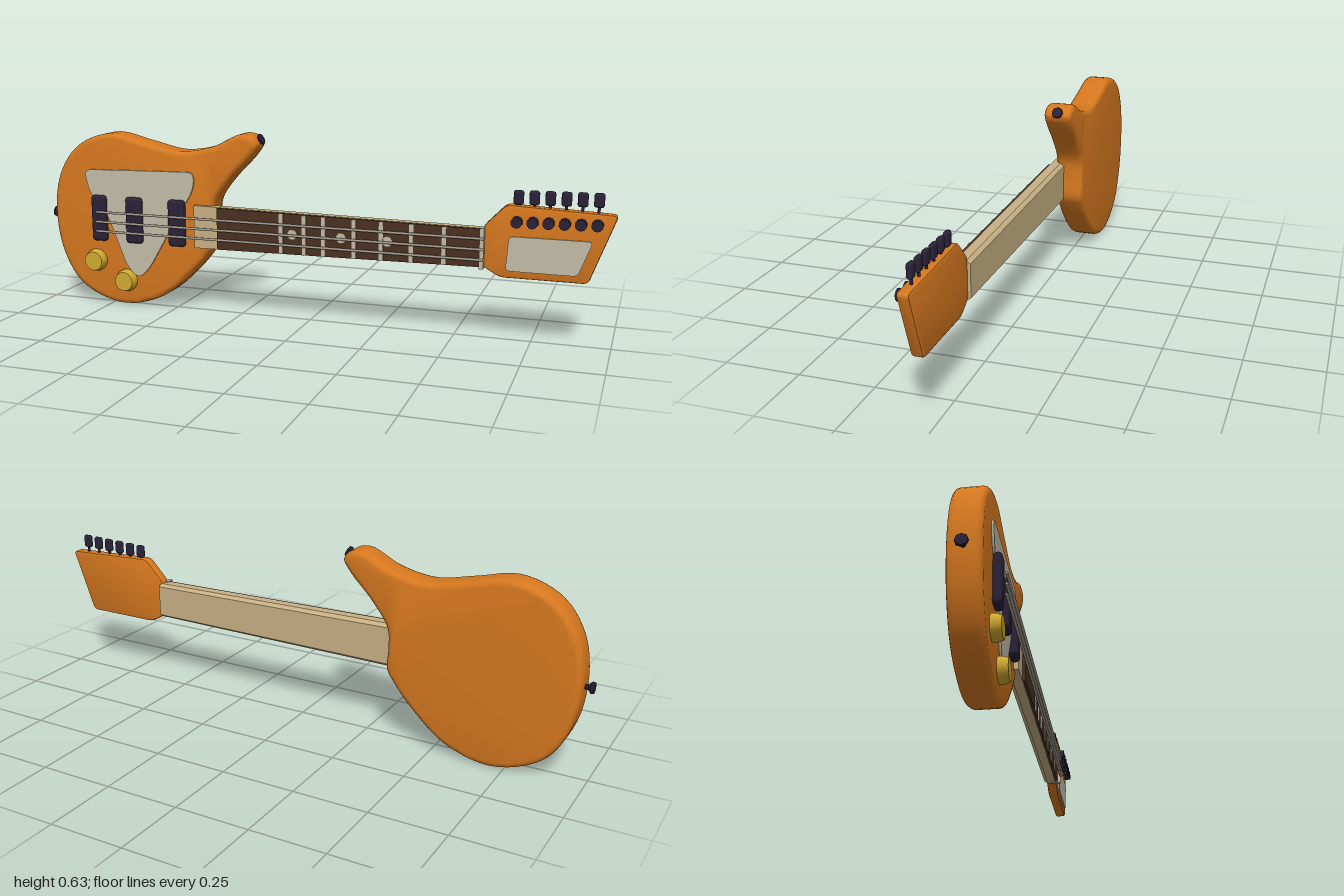
import * as THREE from 'three';
import { toCreasedNormals } from 'three/addons/utils/BufferGeometryUtils.js';
import { RoundedBoxGeometry } from 'three/addons/geometries/RoundedBoxGeometry.js';

const mat = (name, color) => new THREE.MeshStandardMaterial({ name, color });

export function createModel() {
  const root = new THREE.Group();
  const orange = mat('orange lacquer', 0xd6781f);
  const maple = mat('pale maple', 0xc8b084);
  const rosewood = mat('dark fretboard', 0x4a3020);
  const ivory = mat('grey ivory', 0xc4bca8);
  const black = mat('dark plastic', 0x2a2238);
  const gold = mat('gold', 0xd0aa30);
  const steel = mat('string steel', 0xa8a090);

  const add = (name, geo, material, x = 0, y = 0, z = 0, parent = root) => {
    const m = new THREE.Mesh(geo, material);
    m.name = name;
    m.position.set(x, y, z);
    parent.add(m);
    return m;
  };
  const vecs = (pts) => pts.map(([x, y]) => new THREE.Vector2(x, y));

  // Closed smooth outline through a few points
  const splineShape = (pts, n) => {
    const c = new THREE.CatmullRomCurve3(pts.map(([x, y]) => new THREE.Vector3(x, y, 0)), true);
    return new THREE.Shape(c.getPoints(n).slice(0, n).map((p) => new THREE.Vector2(p.x, p.y)));
  };
  // Straight-sided outline with rounded corners
  const roundedShape = (pts, r) => {
    const v = vecs(pts), s = new THREE.Shape();
    v.forEach((p, i) => {
      const a = v[(i + v.length - 1) % v.length], b = v[(i + 1) % v.length];
      const p0 = p.clone().add(a.clone().sub(p).setLength(r));
      const p1 = p.clone().add(b.clone().sub(p).setLength(r));
      if (i) s.lineTo(p0.x, p0.y); else s.moveTo(p0.x, p0.y);
      s.quadraticCurveTo(p.x, p.y, p1.x, p1.y);
    });
    s.closePath();
    return s;
  };
  // Slab between two depths with a softened rim inside the outline
  const slab = (shape, z0, z1, bevel, segs = 3) => {
    const g = new THREE.ExtrudeGeometry(shape, {
      depth: z1 - z0 - 2 * bevel, bevelEnabled: bevel > 0, bevelThickness: bevel,
      bevelSize: bevel, bevelOffset: -bevel, bevelSegments: segs, curveSegments: 5,
    });
    g.translate(0, 0, z0 + bevel);
    return toCreasedNormals(g, 0.6);
  };

  // Body with one horn
  const outline = [
    [-0.97, 0.34], [-0.945, 0.18], [-0.87, 0.065], [-0.71, 0.005], [-0.55, 0.045],
    [-0.43, 0.145], [-0.37, 0.215], [-0.343, 0.26], [-0.345, 0.33], [-0.34, 0.40],
    [-0.285, 0.48], [-0.205, 0.565], [-0.182, 0.605], [-0.2, 0.63], [-0.245, 0.637],
    [-0.35, 0.59], [-0.47, 0.57], [-0.6, 0.595], [-0.74, 0.622], [-0.87, 0.575], [-0.945, 0.475],
  ];
  add('body', slab(splineShape(outline, 110), -0.068, 0.03, 0.018), orange);

  // Pickguard
  add('pickguard', slab(roundedShape([
    [-0.84, 0.492], [-0.41, 0.502], [-0.415, 0.44], [-0.49, 0.32],
    [-0.59, 0.15], [-0.635, 0.105], [-0.68, 0.15], [-0.75, 0.33], [-0.82, 0.41],
  ], 0.03), 0.028, 0.037, 0), ivory);

  // Pickups
  for (const [x, w] of [[-0.78, 0.056], [-0.642, 0.062], [-0.477, 0.062]])
    add('pickup', new RoundedBoxGeometry(w, 0.165, 0.03, 3, 0.012), black, x, 0.32, 0.041);

  // Control knobs
  const knobGeo = toCreasedNormals(new THREE.LatheGeometry(
    vecs([[0, 0], [0.04, 0], [0.04, 0.012], [0.034, 0.031], [0, 0.031]]), 20), 0.5);
  knobGeo.rotateX(Math.PI / 2);
  for (const [x, y] of [[-0.803, 0.163], [-0.684, 0.097]]) add('controlKnob', knobGeo, gold, x, y, 0.03);

  // Strap buttons, flared outwards
  const buttonGeo = toCreasedNormals(new THREE.LatheGeometry(
    vecs([[0, -0.01], [0.009, -0.01], [0.009, 0.008], [0.02, 0.018], [0.018, 0.025], [0, 0.028]]), 8), 0.5);
  add('endStrapButton', buttonGeo, black, -0.972, 0.32, -0.02).rotation.z = Math.PI / 2;
  add('hornStrapButton', buttonGeo, black, -0.2, 0.61, -0.02).rotation.z = -1.1;

  // Neck and fretboard narrow slightly towards the head
  const halfWidth = (x) => 0.075 - 0.012 * (x + 0.41);
  const taperedBar = (section, x0, x1) => {
    const g = new THREE.ExtrudeGeometry(new THREE.Shape(vecs(section)), { depth: x1 - x0, bevelEnabled: false });
    const p = g.attributes.position;
    for (let i = 0; i < p.count; i++) {
      const x = x0 + p.getZ(i);
      p.setXYZ(i, x, 0.313 + p.getX(i) * halfWidth(x), p.getY(i));
    }
    g.computeVertexNormals();
    return g;
  };
  add('neck', taperedBar([[-0.85, 0.002], [0.85, 0.002], [1, 0.015], [1, 0.045], [-1, 0.045], [-1, 0.015]], -0.41, 0.6), maple);
  add('fretboard', taperedBar([[-0.98, 0.044], [0.98, 0.044], [0.98, 0.054], [-0.98, 0.054]], -0.32, 0.59), rosewood);
  add('nut', new THREE.BoxGeometry(0.014, 0.132, 0.03), ivory, 0.592, 0.313, 0.05);

  // Frets and inlay dots
  for (const x of [-0.085, -0.003, 0.065, 0.17, 0.262, 0.363, 0.47])
    add('fret', new THREE.BoxGeometry(0.014, 2 * halfWidth(x) - 0.006, 0.008), ivory, x, 0.313, 0.054);
  const dot = new THREE.CylinderGeometry(0.017, 0.017, 0.006, 14).rotateX(Math.PI / 2);
  for (const x of [-0.045, 0.126, 0.283]) add('inlayDot', dot, ivory, x, 0.313, 0.054);

  // Strings
  const stringGeo = new THREE.CylinderGeometry(0.0045, 0.0045, 1.38, 6).rotateZ(Math.PI / 2);
  for (const y of [0.277, 0.311, 0.346]) add('string', stringGeo, steel, -0.092, y, 0.065);

  // Headstock and its face plate
  add('headstock', slab(roundedShape([
    [0.592, 0.383], [0.663, 0.457], [1.003, 0.442], [0.922, 0.221], [0.65, 0.221], [0.592, 0.253],
  ], 0.017), 0.012, 0.048, 0.006, 2), orange);
  add('headPlate', slab(roundedShape([
    [0.675, 0.357], [0.932, 0.357], [0.89, 0.245], [0.667, 0.245],
  ], 0.015), 0.047, 0.053, 0), ivory);

  // Six tuners: post on the face, key above the edge
  const post = toCreasedNormals(new THREE.CylinderGeometry(0.018, 0.018, 0.024, 10).rotateX(Math.PI / 2), 0.7);
  const stem = new THREE.CylinderGeometry(0.005, 0.005, 0.04, 6);
  const key = new RoundedBoxGeometry(0.032, 0.046, 0.018, 2, 0.008);
  for (let i = 0; i < 6; i++) {
    const tuner = new THREE.Group();
    tuner.name = 'tuner';
    tuner.position.x = 0.698 + i * 0.0488;
    root.add(tuner);
    add('tunerPost', post, black, 0, 0.405 + i * 0.001, 0.058, tuner);
    add('tunerStem', stem, black, 0, 0.455, 0.03, tuner);
    add('tunerKey', key, black, 0, 0.479 + i * 0.001, 0.03, tuner);
  }
  return root;
}
